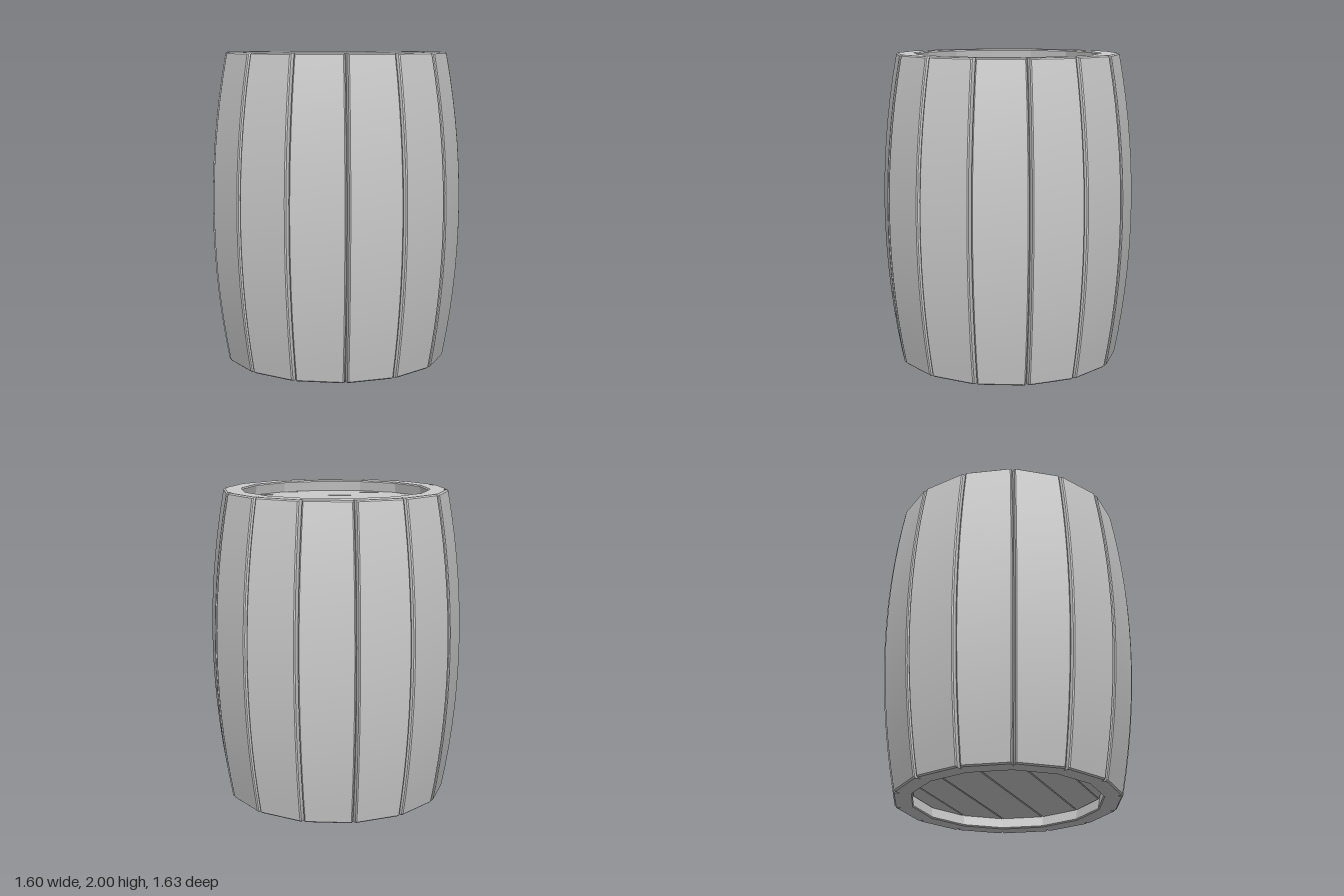
import * as THREE from 'three';
import { toCreasedNormals } from 'three/addons/utils/BufferGeometryUtils.js';

const SIDES = 14;
const STEP = (Math.PI * 2) / SIDES;
const TAN = Math.tan(STEP / 2);
const HEIGHT = 2;
const WALL = 0.12;
const BEVEL = 0.008;

const bulge = (y) => 0.8 - 0.095 * (y - 1) ** 2;

// Cross-section of one stave at a height: x outward, z across, V-groove at each side
function section(y, inset) {
  const a = bulge(y) - inset;
  const b = bulge(y) - WALL + inset;
  const g = bulge(y) - 0.035 - inset;
  const half = [
    [a, a * TAN - 0.018],
    [a - 0.007, a * TAN - 0.011],
    [g, g * TAN],
    [b, b * TAN],
  ];
  const mirrored = half.map(([x, z]) => [x, -z]);
  return [...mirrored, ...half.reverse()].map(([x, z]) => new THREE.Vector3(x, y, z));
}

// Lofts the sections into one closed, curved stave
function staveGeometry() {
  const rings = [section(0, BEVEL)];
  const n = 14;
  for (let i = 0; i <= n; i++) {
    rings.push(section(BEVEL + ((HEIGHT - 2 * BEVEL) * i) / n, 0));
  }
  rings.push(section(HEIGHT, BEVEL));

  const pos = [];
  const tri = (...pts) => pts.forEach((p) => pos.push(p.x, p.y, p.z));
  const count = rings[0].length;
  for (let r = 0; r < rings.length - 1; r++) {
    for (let i = 0; i < count; i++) {
      const j = (i + 1) % count;
      tri(rings[r][i], rings[r][j], rings[r + 1][j]);
      tri(rings[r][i], rings[r + 1][j], rings[r + 1][i]);
    }
  }
  // End caps
  for (const [ring, top] of [[rings[0], false], [rings.at(-1), true]]) {
    const c = new THREE.Vector3(bulge(0) - WALL / 2, ring[0].y, 0);
    ring.forEach((p, i) => {
      const q = ring[(i + 1) % count];
      if (top) tri(c, p, q);
      else tri(c, q, p);
    });
  }
  const geo = new THREE.BufferGeometry();
  geo.setAttribute('position', new THREE.Float32BufferAttribute(pos, 3));
  return toCreasedNormals(geo, 0.4);
}

// Round lid of parallel planks whose ends follow the barrel's sides
function createHead(material) {
  const head = new THREE.Group();
  const R = 0.61;
  const corner = (k) => {
    const angle = STEP / 2 + k * STEP;
    return [R * Math.sin(angle), R * Math.cos(angle)];
  };
  for (let k = 0; k < SIDES / 2 - 1; k++) {
    const [x0, y0] = corner(k);
    const [x1, y1] = corner(k + 1);
    const shape = new THREE.Shape([
      new THREE.Vector2(-x0, y0),
      new THREE.Vector2(-x1, y1),
      new THREE.Vector2(x1, y1),
      new THREE.Vector2(x0, y0),
    ]);
    const geo = new THREE.ExtrudeGeometry(shape, {
      depth: 0.05,
      bevelEnabled: true,
      bevelThickness: BEVEL,
      bevelSize: 0.006,
      bevelOffset: -0.006,
      bevelSegments: 1,
    });
    geo.rotateZ(STEP / 2);
    geo.rotateX(-Math.PI / 2);
    geo.translate(0, 0.93 - 0.05 - BEVEL, 0);
    const plank = new THREE.Mesh(geo, material);
    plank.name = 'headPlank' + (k + 1);
    head.add(plank);
  }
  head.position.y = HEIGHT / 2;
  return head;
}

export function createModel() {
  const barrel = new THREE.Group();
  barrel.name = 'barrel';
  const material = new THREE.MeshStandardMaterial({ color: 0xcccccc });

  // Ring of staves
  const staves = new THREE.Group();
  staves.name = 'staves';
  const geo = staveGeometry();
  for (let i = 0; i < SIDES; i++) {
    const stave = new THREE.Mesh(geo, material);
    stave.name = 'stave' + (i + 1);
    stave.rotation.y = i * STEP;
    staves.add(stave);
  }
  barrel.add(staves);

  // Recessed heads, the bottom one turned over
  const topHead = createHead(material);
  topHead.name = 'topHead';
  const bottomHead = createHead(material);
  bottomHead.name = 'bottomHead';
  bottomHead.rotation.x = Math.PI;
  barrel.add(topHead, bottomHead);

  return barrel;
}
